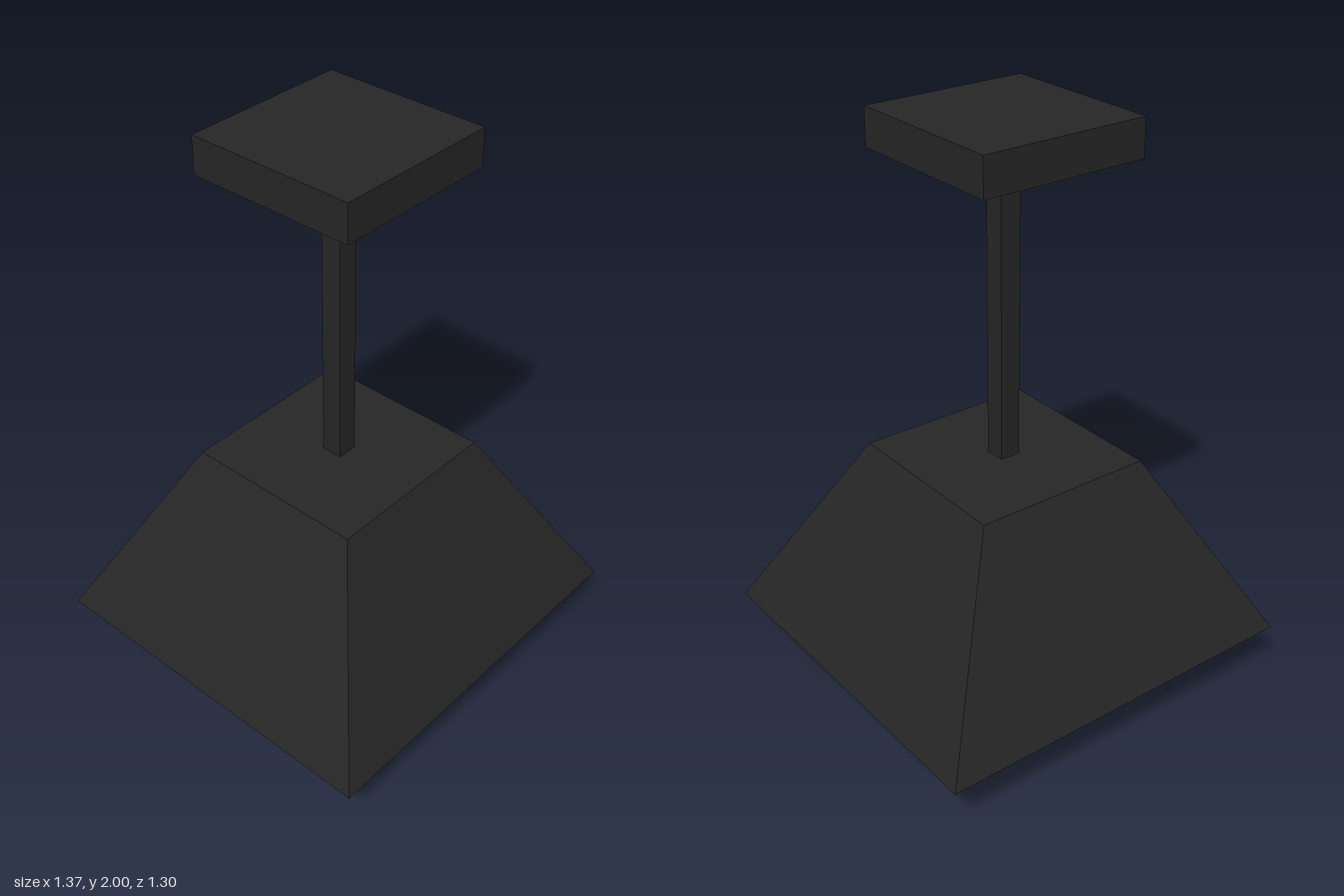
import * as THREE from 'three';

export function createModel() {
  const black = new THREE.MeshStandardMaterial({ color: 0x262626, flatShading: true });
  black.name = 'black metal';
  const amber = new THREE.MeshStandardMaterial({ color: 0x937c50, flatShading: true });
  amber.name = 'amber glass';

  const lamp = new THREE.Group();
  lamp.name = 'pendantLamp';

  function add(name, geometry, material, y = 0) {
    const mesh = new THREE.Mesh(geometry, material);
    mesh.name = name;
    mesh.position.y = y;
    lamp.add(mesh);
    return mesh;
  }

  // Ceiling plate and square hanging rod
  add('ceilingPlate', new THREE.BoxGeometry(0.6, 0.13, 0.6), black, 1.935);
  add('rod', new THREE.BoxGeometry(0.074, 1.06, 0.074), black, 1.35);

  // Shade: a closed box whose top is drawn in
  const shade = new THREE.BoxGeometry(1.366, 0.65, 1.304);
  const pos = shade.attributes.position;
  for (let i = 0; i < pos.count; i++) {
    if (pos.getY(i) > 0) {
      pos.setX(i, Math.sign(pos.getX(i)) * 0.325);
      pos.setZ(i, Math.sign(pos.getZ(i)) * 0.325);
    }
  }
  shade.computeVertexNormals();
  add('shade', shade, black, 0.505);

  // Eight-sided bulb, its upper end hidden inside the shade
  const profile = [[0, 0], [0.146, 0], [0.187, 0.1], [0.167, 0.19], [0.09, 0.25], [0, 0.25]]
    .map(([r, y]) => new THREE.Vector2(r, y));
  add('bulb', new THREE.LatheGeometry(profile, 8, Math.PI / 8), amber);

  return lamp;
}
